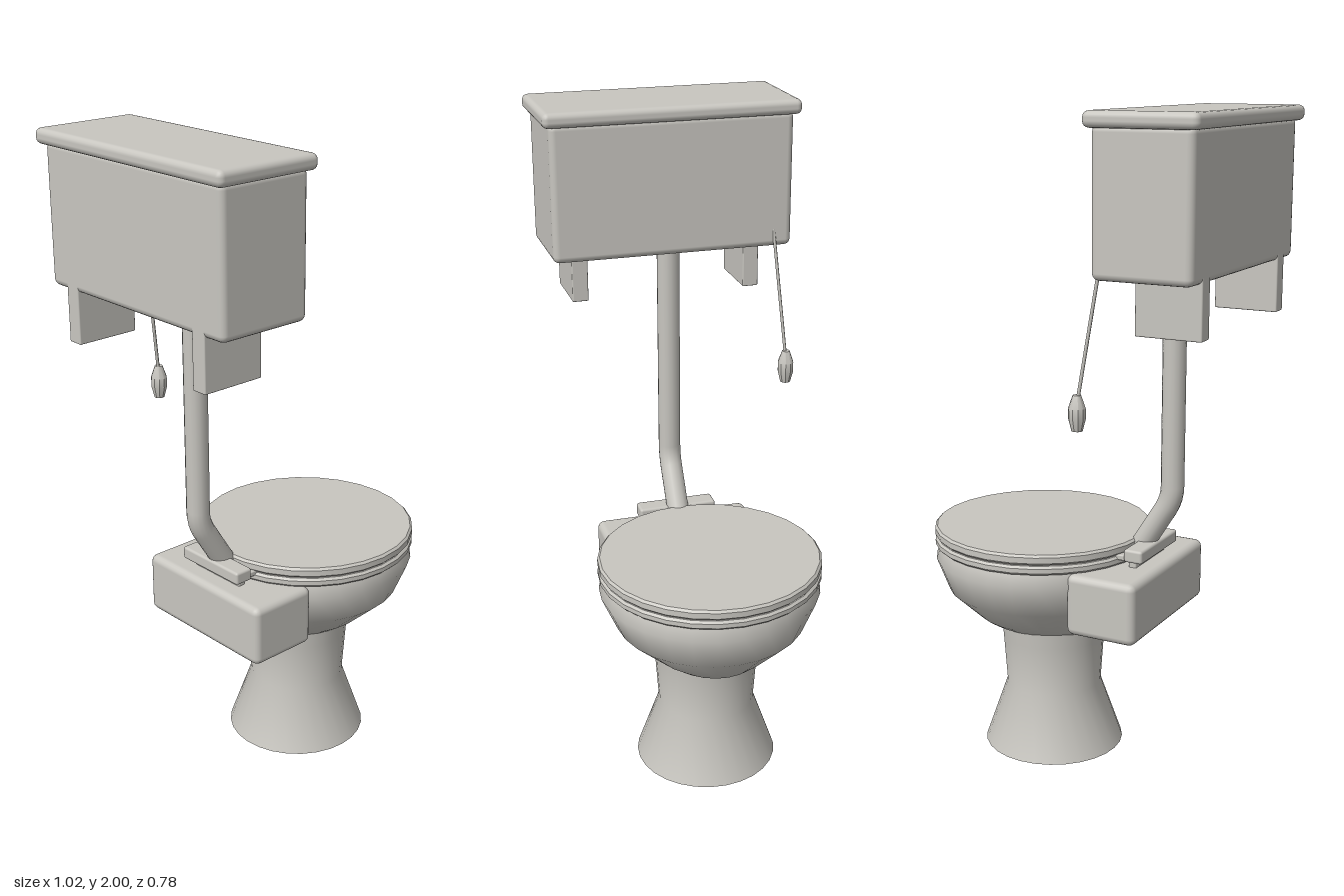
import * as THREE from 'three';
import { mergeVertices, toCreasedNormals } from 'three/addons/utils/BufferGeometryUtils.js';
import { RoundedBoxGeometry } from 'three/addons/geometries/RoundedBoxGeometry.js';

const ceramic = new THREE.MeshStandardMaterial({ name: 'ceramic', color: 0xc8c6c0 });

// Surface through elliptical rings, each [y, centreX, radiusX, radiusZ], from bottom to top
function loft(rings, sides, crease) {
  const geo = new THREE.LatheGeometry(rings.map(([y]) => new THREE.Vector2(1, y)), sides);
  const pos = geo.attributes.position;
  for (let i = 0; i < pos.count; i++) {
    const [y, cx, rx, rz] = rings[i % rings.length];
    pos.setXYZ(i, cx + pos.getX(i) * rx, y, pos.getZ(i) * rz);
  }
  geo.deleteAttribute('uv');
  geo.deleteAttribute('normal');
  return toCreasedNormals(mergeVertices(geo, 1e-5), crease);
}

export function createModel() {
  const model = new THREE.Group();
  model.name = 'highLevelToilet';

  const add = (name, geo) => {
    const mesh = new THREE.Mesh(geo, ceramic);
    mesh.name = name;
    model.add(mesh);
    return mesh;
  };
  // Rounded box given by its extents on each axis
  const box = (name, [x0, x1], [y0, y1], [z0, z1], radius) =>
    add(name, new RoundedBoxGeometry(x1 - x0, y1 - y0, z1 - z0, 2, radius))
      .position.set((x0 + x1) / 2, (y0 + y1) / 2, (z0 + z1) / 2);

  // Pedestal and bowl
  add('pedestal', loft([
    [0, 0.135, 0, 0], [0, 0.135, 0.22, 0.22], [0.2, 0.135, 0.15, 0.15],
    [0.36, 0.135, 0.161, 0.161], [0.43, 0.135, 0.167, 0.167],
  ], 28, 0.8));
  add('bowl', loft([
    [0.405, 0.15, 0, 0], [0.405, 0.165, 0.2, 0.165], [0.425, 0.17, 0.215, 0.195],
    [0.515, 0.175, 0.296, 0.292], [0.62, 0.17, 0.338, 0.338],
    [0.66, 0.17, 0.325, 0.325], [0.665, 0.17, 0, 0],
  ], 28, 0.9));

  // Seat and lid discs with softened rims
  for (const [name, y0, y1] of [['seat', 0.662, 0.69], ['lid', 0.693, 0.725]]) {
    const r = 0.34, b = 0.007;
    add(name, loft([
      [y0, 0.17, 0, 0], [y0, 0.17, r - b, r - b], [y0 + b, 0.17, r, r],
      [y1 - b, 0.17, r, r], [y1, 0.17, r - b, r - b], [y1, 0.17, 0, 0],
    ], 28, 0.5));
  }

  // Rear block and seat hinge
  box('rearBlock', [-0.27, -0.045], [0.47, 0.66], [-0.25, 0.25], 0.022);
  box('hingeBar', [-0.235, -0.175], [0.682, 0.722], [-0.125, 0.125], 0.008);
  box('hingePlate', [-0.19, -0.08], [0.68, 0.697], [-0.11, 0.11], 0.004);
  box('hingePost', [-0.205, -0.18], [0.65, 0.69], [-0.1, 0.1], 0.004);

  // Flush pipe with a soft elbow
  const path = new THREE.CurvePath();
  const v = (x, y) => new THREE.Vector3(x, y, 0);
  path.add(new THREE.LineCurve3(v(-0.275, 1.58), v(-0.275, 0.9)));
  path.add(new THREE.QuadraticBezierCurve3(v(-0.275, 0.9), v(-0.275, 0.86), v(-0.253, 0.825)));
  path.add(new THREE.LineCurve3(v(-0.253, 0.825), v(-0.175, 0.70)));
  add('flushPipe', new THREE.TubeGeometry(path, 48, 0.035, 16));

  // Cistern, its cover and wall brackets
  box('cistern', [-0.49, -0.192], [1.555, 1.965], [-0.37, 0.37], 0.02);
  box('cisternCover', [-0.51, -0.174], [1.955, 2.0], [-0.39, 0.39], 0.018);
  for (const side of [-1, 1]) {
    const z = side * 0.273;
    box(side < 0 ? 'bracketRight' : 'bracketLeft', [-0.49, -0.292], [1.402, 1.58], [z - 0.025, z + 0.025], 0.004);
  }

  // Pull chain and handle
  const chain = new THREE.LineCurve3(new THREE.Vector3(-0.197, 1.615, -0.312), new THREE.Vector3(-0.14, 1.22, -0.341));
  add('pullChain', new THREE.TubeGeometry(chain, 1, 0.005, 6));
  add('pullHandle', loft([
    [1.13, 0, 0, 0], [1.13, 0, 0.016, 0.016], [1.165, 0, 0.025, 0.025],
    [1.195, 0, 0.025, 0.025], [1.232, 0, 0.012, 0.012], [1.232, 0, 0, 0],
  ], 10, 0.6)).position.set(-0.138, 0, -0.342);

  return model;
}
